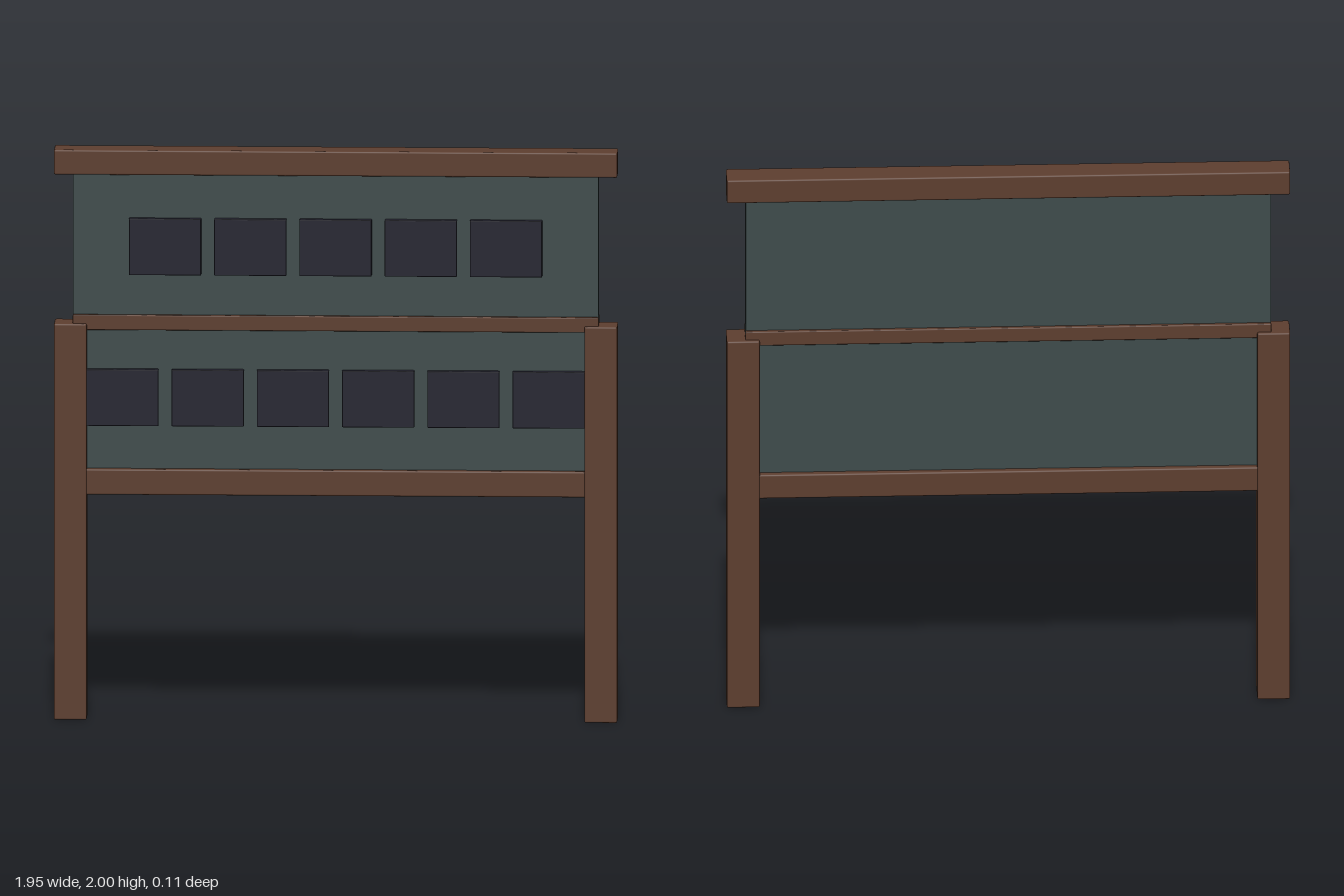
import * as THREE from 'three';
import { RoundedBoxGeometry } from 'three/addons/geometries/RoundedBoxGeometry.js';

const material = (name, color) => {
  const m = new THREE.MeshStandardMaterial({ color });
  m.name = name;
  return m;
};

export function createModel() {
  const group = new THREE.Group();
  group.name = 'signBoard';
  const wood = material('brown wood', 0x5c3d2e);
  const slate = material('slate green', 0x3e4b4b);
  const dark = material('dark tile', 0x24242f);

  // Softly bevelled box given by its centre x, y range, z range and width
  const block = (name, mat, x, width, y0, y1, z0, z1, bevel = 0.006) => {
    const geometry = new RoundedBoxGeometry(width, y1 - y0, z1 - z0, 2, bevel);
    const mesh = new THREE.Mesh(geometry, mat);
    mesh.name = name;
    mesh.position.set(x, (y0 + y1) / 2, (z0 + z1) / 2);
    group.add(mesh);
  };

  // Posts
  block('leftPost', wood, 0.918, 0.114, 0, 1.39, -0.055, 0.055);
  block('rightPost', wood, -0.918, 0.114, 0, 1.39, -0.055, 0.055);

  // Rails
  block('topBeam', wood, 0, 1.95, 1.913, 2, -0.051, 0.051);
  block('middleRail', wood, 0, 1.82, 1.367, 1.42, -0.042, 0.042, 0.004);
  block('bottomRail', wood, 0, 1.78, 0.79, 0.88, -0.05, 0.05);

  // Boards
  block('upperBoard', slate, 0, 1.82, 1.4, 1.93, -0.028, 0.028, 0.003);
  block('lowerBoard', slate, 0, 1.78, 0.86, 1.38, -0.028, 0.028, 0.003);

  // Rows of raised tiles on the front
  for (const [row, count, y] of [['upper', 5, 1.562], ['lower', 6, 1.032]]) {
    for (let i = 0; i < count; i++) {
      const x = (i - (count - 1) / 2) * 0.295;
      block(`${row}Tile${i + 1}`, dark, x, 0.25, y, y + 0.198, 0.02, 0.052, 0.003);
    }
  }
  return group;
}
